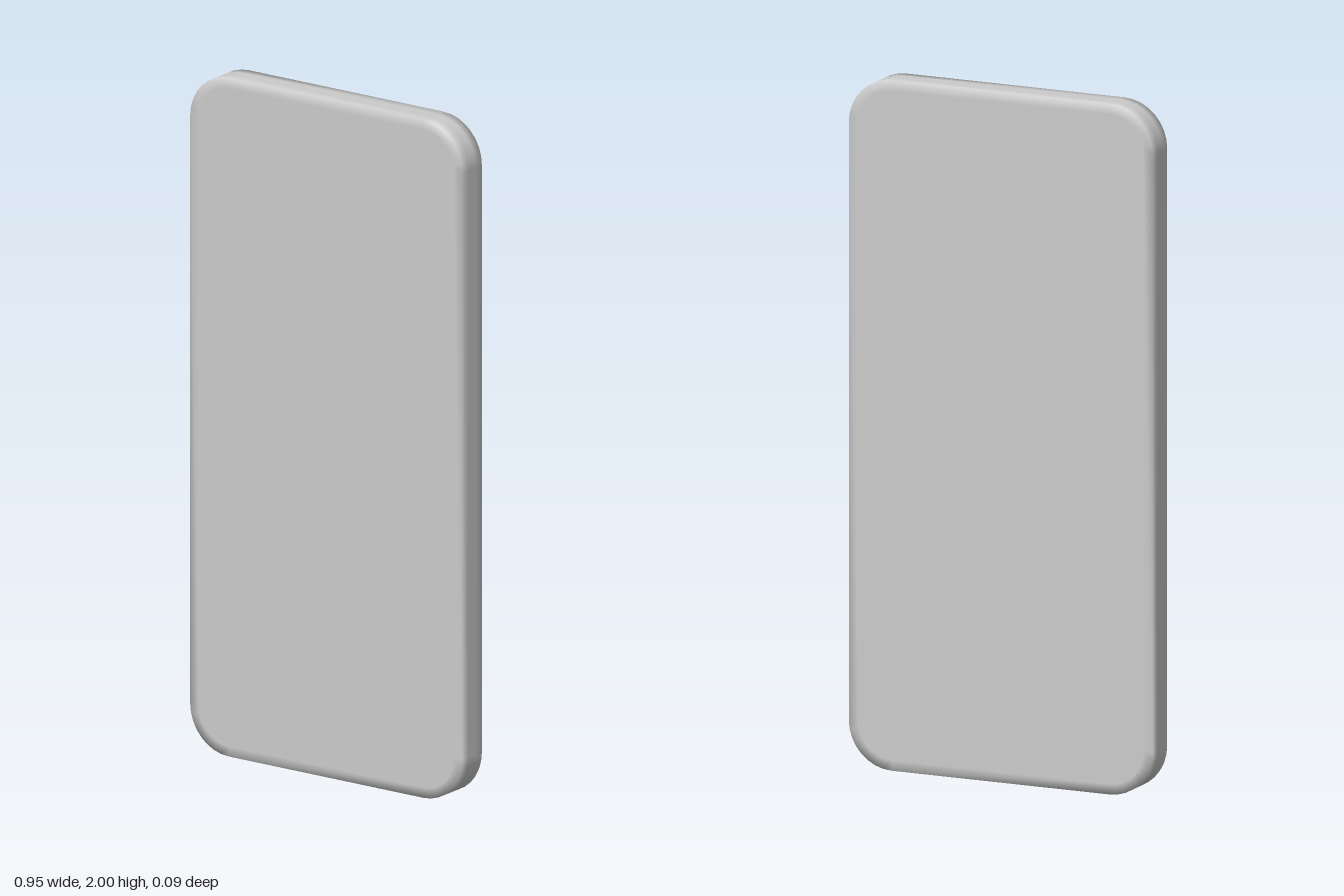
import * as THREE from 'three';

const W = 0.95, H = 2, D = 0.095, R = 0.135, SEGS = 8;

// One closed rounded-rectangle loop, counter-clockwise seen from the front
function roundedLoop(inset, z) {
  const points = [];
  const r = R - inset;
  const corners = [[1, 1], [-1, 1], [-1, -1], [1, -1]];
  corners.forEach(([sx, sy], c) => {
    for (let i = 0; i <= SEGS; i++) {
      const a = (c + i / SEGS) * Math.PI / 2;
      points.push([
        sx * (W / 2 - R) + r * Math.cos(a),
        H / 2 + sy * (H / 2 - R) + r * Math.sin(a),
        z,
      ]);
    }
  });
  return points;
}

// Slab skinned through loops from front to back, with softly shaded rims
function slabGeometry() {
  const h = D / 2;
  const rings = [[0.03, h], [0, h], [0, h * 0.35], [0, -h * 0.35], [0, -h], [0.03, -h]];
  const loops = rings.map(([inset, z]) => roundedLoop(inset, z));
  const n = loops[0].length;
  const vertices = loops.flat();
  const index = [];
  for (let k = 0; k < loops.length - 1; k++) {
    for (let i = 0; i < n; i++) {
      const j = (i + 1) % n;
      const a = k * n + i, b = k * n + j, c = a + n, d = b + n;
      index.push(a, c, b, b, c, d);
    }
  }

  // Flat front and back panels
  const front = vertices.push([0, H / 2, h]) - 1;
  const back = vertices.push([0, H / 2, -h]) - 1;
  const last = (loops.length - 1) * n;
  for (let i = 0; i < n; i++) {
    const j = (i + 1) % n;
    index.push(front, i, j, back, last + j, last + i);
  }

  const geometry = new THREE.BufferGeometry();
  geometry.setAttribute('position', new THREE.Float32BufferAttribute(vertices.flat(), 3));
  geometry.setIndex(index);
  geometry.computeVertexNormals();
  return geometry;
}

export function createModel() {
  const group = new THREE.Group();
  group.name = 'roundedSlab';
  const body = new THREE.Mesh(slabGeometry(), new THREE.MeshStandardMaterial({ color: 0xcccccc }));
  body.name = 'body';
  group.add(body);
  return group;
}
